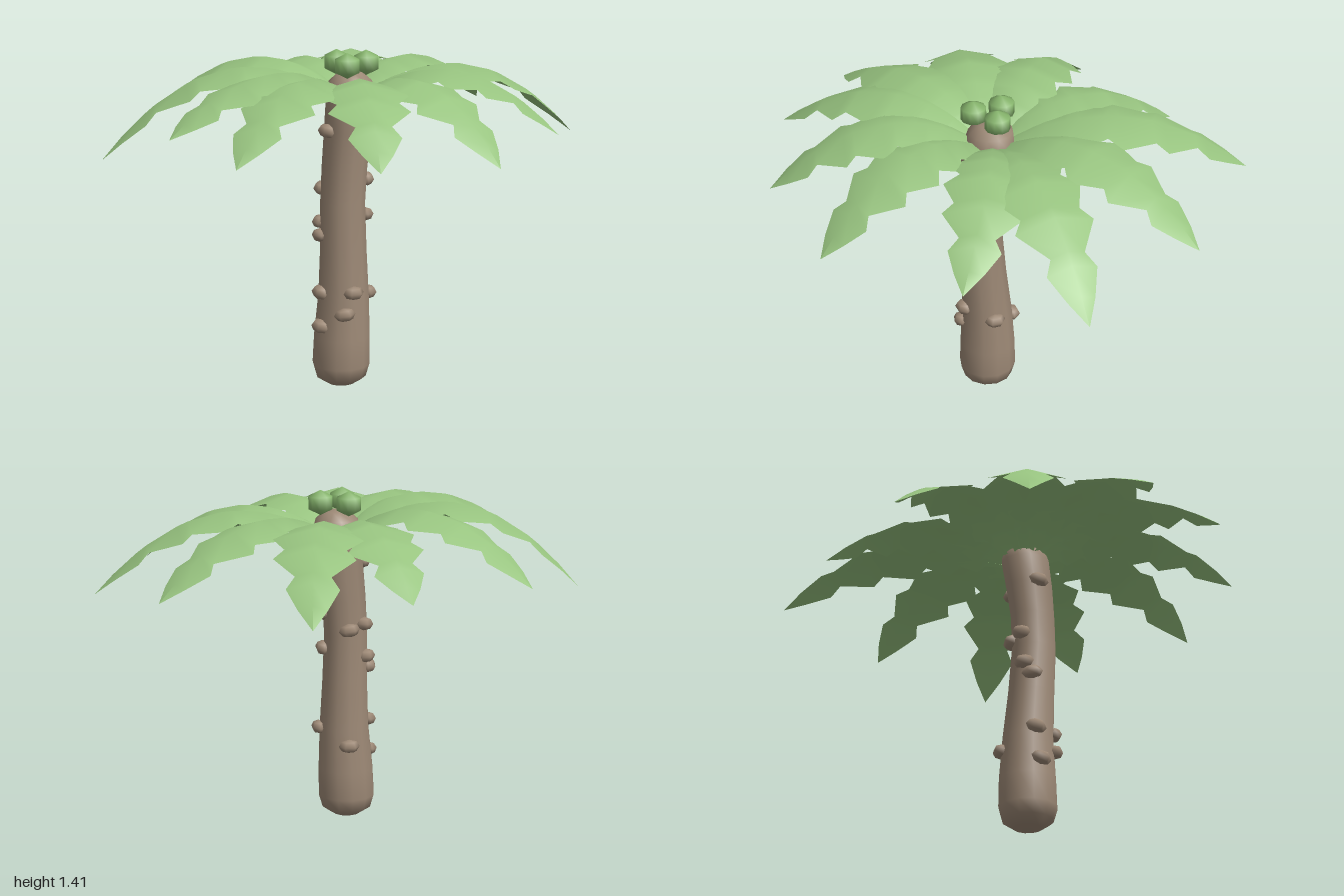
import * as THREE from 'three';

const mat = (name, color, extra = {}) => {
  const m = new THREE.MeshStandardMaterial({ color, ...extra });
  m.name = name;
  return m;
};

// Trunk rings, bottom to top: height, radius, centre x, centre z
const RINGS = [
  [0.005, 0, -0.052, 0.065], [0.015, 0.06, -0.052, 0.065], [0.045, 0.105, -0.052, 0.065],
  [0.1, 0.121, -0.052, 0.066], [0.22, 0.118, -0.048, 0.066], [0.4, 0.106, -0.042, 0.07],
  [0.6, 0.097, -0.048, 0.083], [0.8, 0.093, -0.055, 0.094], [0.95, 0.094, -0.046, 0.092],
  [1.1, 0.1, -0.026, 0.083], [1.23, 0.104, -0.008, 0.07], [1.29, 0.09, -0.008, 0.062],
  [1.325, 0.05, -0.008, 0.06], [1.335, 0, -0.008, 0.06],
];

// Radius and centre of the trunk at a height
function trunkAt(y) {
  const i = Math.max(1, RINGS.findIndex((r) => r[0] >= y));
  const a = RINGS[i - 1], b = RINGS[i];
  const k = (y - a[0]) / (b[0] - a[0]);
  return a.map((v, j) => v + (b[j] - v) * k);
}

// Lathe bent along the ring centres
function trunkGeometry() {
  const SEG = 12;
  const geo = new THREE.LatheGeometry(RINGS.map(([y, r]) => new THREE.Vector2(r, y)), SEG);
  const p = geo.attributes.position;
  for (let i = 0; i < p.count; i++) {
    const [, , cx, cz] = RINGS[i % RINGS.length];
    p.setX(i, p.getX(i) + cx);
    p.setZ(i, p.getZ(i) + cz);
  }
  return geo;
}

// Half-width along a frond: notch and tooth pairs, then the tip
const EDGE = [
  [0.02, 0.02], [0.1, 0.045], [0.17, 0.07], [0.21, 0.12], [0.285, 0.1], [0.335, 0.165],
  [0.43, 0.118], [0.485, 0.176], [0.615, 0.118], [0.66, 0.157], [0.785, 0.068], [0.83, 0.1],
  [0.92, 0.055], [1, 0],
];
const ROOT = new THREE.Vector3(-0.01, 1.2, 0.06);

// Folded, arching frond from the crown to its tip; top is its highest point, bend its sideways bow
function frondGeometry(tx, ty, tz, top, bend) {
  const dx = tx - ROOT.x, dz = tz - ROOT.z, len = Math.hypot(dx, dz);
  const sx = -dz / len, sz = dx / len;
  const peak = 0.42;
  const pos = [], idx = [];
  for (const [t, w] of EDGE) {
    const drop = t < peak ? (top - ROOT.y) / peak ** 2 : (top - ty) / (1 - peak) ** 2;
    const y = top - drop * (t - peak) ** 2;
    const bow = bend * 4 * t * (1 - t);
    for (const side of [-1, 0, 1]) {
      const off = w * side + bow;
      pos.push(ROOT.x + dx * t + sx * off, y - Math.abs(side) * w * 0.28, ROOT.z + dz * t + sz * off);
    }
  }
  for (let i = 0; i < EDGE.length - 1; i++) {
    for (let j = 0; j < 2; j++) {
      const a = i * 3 + j, b = a + 1, c = a + 3, d = a + 4;
      idx.push(a, c, b, b, c, d);
    }
  }
  const geo = new THREE.BufferGeometry();
  geo.setAttribute('position', new THREE.Float32BufferAttribute(pos, 3));
  geo.setIndex(idx);
  geo.computeVertexNormals();
  return geo;
}

export function createModel() {
  const model = new THREE.Group();
  model.name = 'palmTree';
  const bark = mat('bark brown', 0x9d8976);
  const leaf = mat('leaf green', 0x98c480, { side: THREE.DoubleSide });
  const nut = mat('nut green', 0x88b76e);
  const add = (name, geo, m, parent = model) => {
    const mesh = new THREE.Mesh(geo, m);
    mesh.name = name;
    parent.add(mesh);
    return mesh;
  };
  const group = (name) => {
    const g = new THREE.Group();
    g.name = name;
    model.add(g);
    return g;
  };

  add('trunk', trunkGeometry(), bark);

  // Bark knobs: outward direction x, z and height
  const knobs = group('barkKnobs');
  const knobGeo = new THREE.SphereGeometry(0.036, 6, 4);
  [[-1, 0.2, 1.1], [0.8, -0.6, 1.1], [1, 0, 0.89], [1, 0.05, 0.74], [1, 0.05, 0.4],
    [0.05, -1, 0.83], [-0.7, -0.7, 0.85], [-0.8, -0.55, 0.71], [-1, -0.2, 0.66],
    [-1, 0.1, 0.42], [0.05, 1, 0.43], [-0.3, 1, 0.34], [-1, 0.3, 0.28], [0.05, -1, 0.34],
  ].forEach(([dx, dz, y], i) => {
    const [, r, cx, cz] = trunkAt(y);
    const a = Math.atan2(dx, dz);
    const k = add('barkKnob', knobGeo, bark, knobs);
    k.position.set(cx + Math.sin(a) * r, y, cz + Math.cos(a) * r);
    k.rotation.set(0, a, (i % 3 - 1) * 0.15);
    k.scale.set(1.25, 0.8, 1);
  });

  // Fronds: tip x, y, z, highest point, sideways bow
  const fronds = group('fronds');
  [[0.99, 1.02, 0.08, 1.34, 0], [0.8, 1.09, -0.46, 1.345, -0.02], [0.31, 1.07, -0.93, 1.35, 0.03],
    [-0.1, 1.11, -0.79, 1.34, 0], [-0.64, 1.1, -0.58, 1.365, 0], [-1, 1, -0.12, 1.36, 0],
    [-0.86, 1.17, 0.4, 1.365, 0], [-0.7, 1.11, 0.72, 1.355, 0], [-0.22, 1.1, 0.92, 1.355, 0],
    [0.28, 1.07, 0.87, 1.345, 0], [0.73, 1.09, 0.47, 1.34, -0.045],
  ].forEach((f) => add('frond', frondGeometry(...f), leaf, fronds));

  // Three nuts on the crown
  const nuts = group('nuts');
  const nutGeo = new THREE.SphereGeometry(0.052, 10, 3).scale(1.13, 1, 1.13);
  [[-0.045, 0], [0.06, 0.06], [-0.045, 0.12]].forEach(([x, z]) => {
    add('nut', nutGeo, nut, nuts).position.set(x, 1.362, z);
  });

  return model;
}
